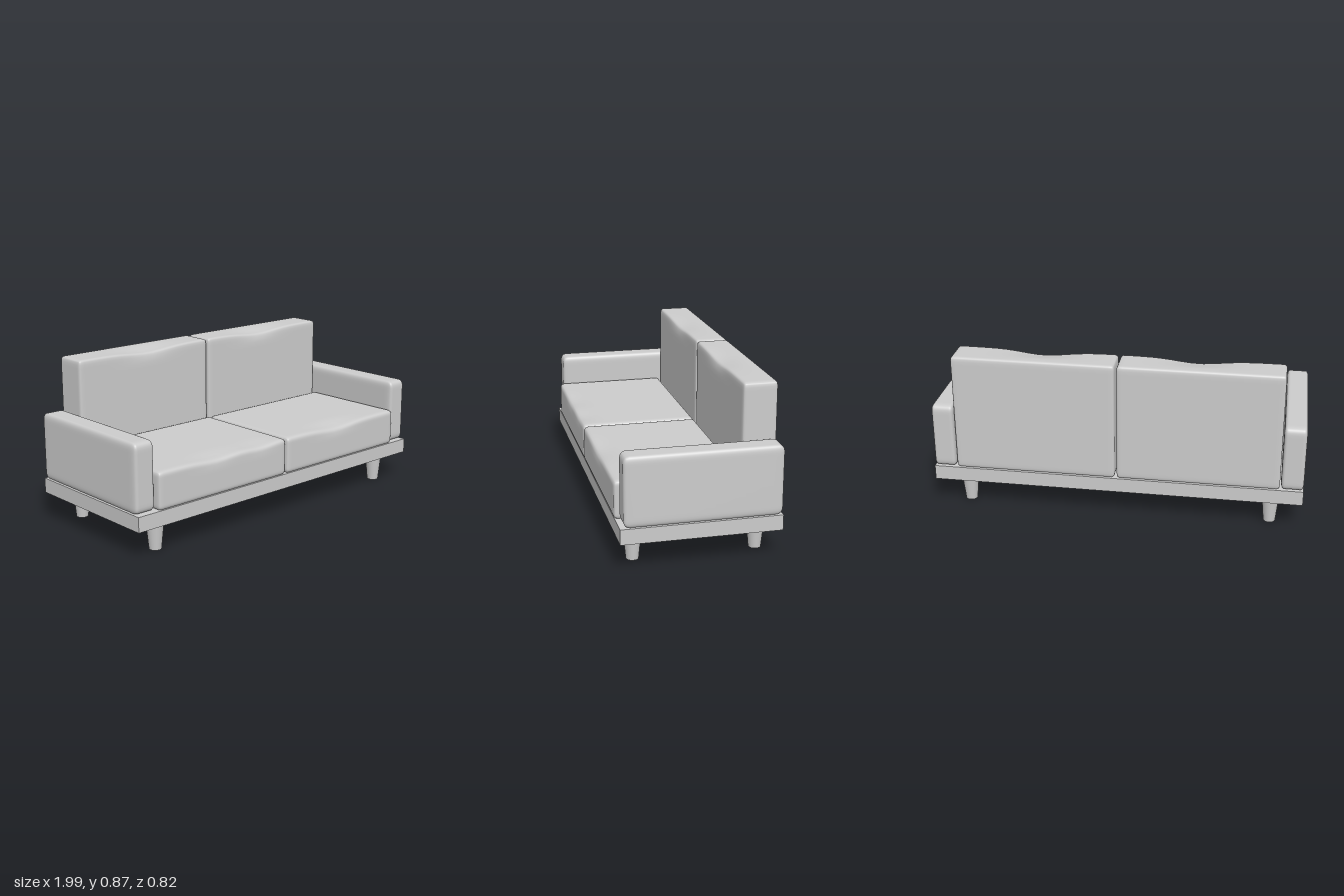
import * as THREE from 'three';
import { mergeVertices } from 'three/addons/utils/BufferGeometryUtils.js';

const material = new THREE.MeshStandardMaterial({ color: 0xcccccc });

function addMesh(group, name, geometry, x, y, z) {
  const mesh = new THREE.Mesh(geometry, material);
  mesh.name = name;
  mesh.position.set(x, y, z);
  group.add(mesh);
}

// Soft padded block: a dense box with elliptical edges of the given radii.
// Each dent [x, depth, width] presses the upper front edge inwards.
function padGeometry(size, radius, dents = []) {
  const n = 24;
  const box = new THREE.BoxGeometry(2, 2, 2, n, n, n);
  box.deleteAttribute('normal');
  box.deleteAttribute('uv');
  const geometry = mergeVertices(box);
  const half = size.map((s) => s / 2);
  const pos = geometry.attributes.position;
  for (let i = 0; i < pos.count; i++) {
    // Crowd the grid towards the edges
    const p = [pos.getX(i), pos.getY(i), pos.getZ(i)]
      .map((t, a) => Math.sin((t * Math.PI) / 2) * half[a]);
    const inner = p.map((v, a) =>
      THREE.MathUtils.clamp(v, radius[a] - half[a], half[a] - radius[a]));
    const d = new THREE.Vector3(...p.map((v, a) => (v - inner[a]) / radius[a])).normalize();
    const q = [inner[0] + d.x * radius[0], inner[1] + d.y * radius[1], inner[2] + d.z * radius[2]];
    const u = q[1] / half[1];
    const nearTop = THREE.MathUtils.smoothstep(q[1], half[1] - 0.08, half[1]);
    const nearFront = THREE.MathUtils.smoothstep(q[2], half[2] - 0.14, half[2]);
    for (const [x, depth, width] of dents) {
      const press = depth * Math.exp(-(((q[0] - x) / width) ** 2)) * nearFront;
      q[1] -= press * nearTop;
      q[2] -= press * 0.4 * nearTop * Math.max(u, 0);
    }
    pos.setXYZ(i, ...q);
  }
  geometry.computeVertexNormals();
  return geometry;
}

export function createModel() {
  const sofa = new THREE.Group();
  sofa.name = 'sofa';

  // Flat platform
  addMesh(sofa, 'base', new THREE.BoxGeometry(1.99, 0.08, 0.815), 0, 0.19, -0.002);

  // Tapered legs
  const leg = new THREE.CylinderGeometry(0.047, 0.032, 0.15, 24);
  for (const x of [-0.825, 0.825]) {
    addMesh(sofa, 'frontLeg', leg, x, 0.075, 0.313);
    addMesh(sofa, 'backLeg', leg, x, 0.075, -0.32);
  }

  // Armrests
  const arm = padGeometry([0.12, 0.36, 0.795], [0.018, 0.035, 0.03]);
  addMesh(sofa, 'leftArm', arm, 0.935, 0.41, -0.011);
  addMesh(sofa, 'rightArm', arm, -0.935, 0.41, -0.011);

  // Seat and back cushions, each pair creased a little differently
  for (const side of [-1, 1]) {
    const label = side > 0 ? 'left' : 'right';
    const seatDents = side > 0 ? [[-0.04, 0.018, 0.15]] : [[-0.05, 0.014, 0.13], [0.25, 0.012, 0.1]];
    const backDents = side > 0 ? [[-0.04, 0.022, 0.16]] : [[0.02, 0.02, 0.16]];
    const x = side * 0.438;
    addMesh(sofa, label + 'SeatCushion',
      padGeometry([0.865, 0.2, 0.63], [0.018, 0.025, 0.022], seatDents), x, 0.329, 0.096);
    addMesh(sofa, label + 'BackCushion',
      padGeometry([0.865, 0.645, 0.177], [0.018, 0.022, 0.016], backDents), x, 0.552, -0.317);
  }
  return sofa;
}
